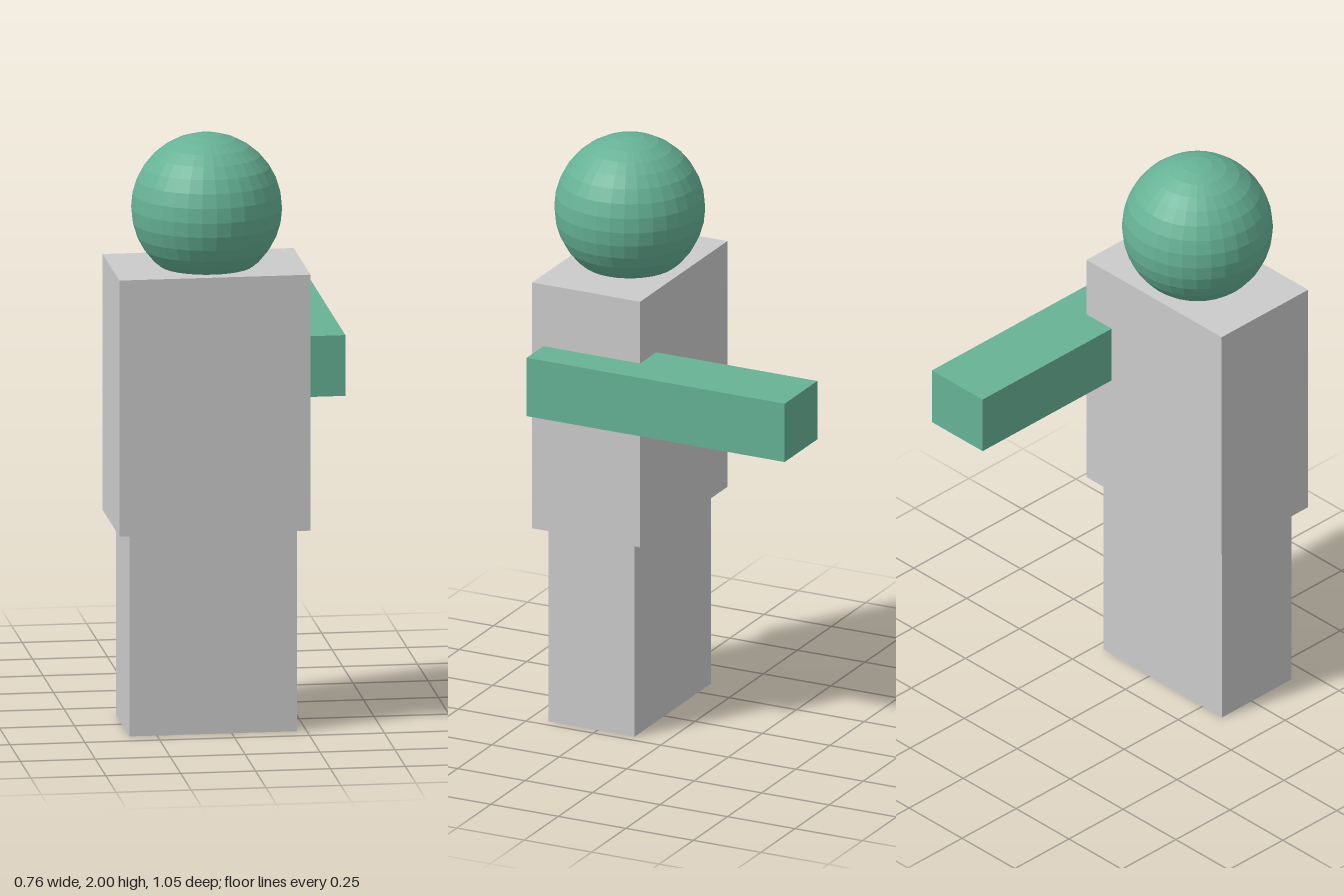
import * as THREE from 'three';

export function createModel() {
  const model = new THREE.Group();
  const grey = new THREE.MeshStandardMaterial({ color: 0xcccccc, flatShading: true });
  const green = new THREE.MeshStandardMaterial({ color: 0x66b296, flatShading: true });

  const add = (name, geometry, material, x, y, z) => {
    const mesh = new THREE.Mesh(geometry, material);
    mesh.name = name;
    mesh.position.set(x, y, z);
    model.add(mesh);
  };

  // Block legs and a slightly wider torso
  add('legs', new THREE.BoxGeometry(0.56, 0.69, 0.32), grey, -0.062, 0.345, 0.273);
  add('torso', new THREE.BoxGeometry(0.638, 0.868, 0.4), grey, -0.062, 1.122, 0.273);

  // Head sunk a little into the torso
  add('head', new THREE.SphereGeometry(0.25, 32, 16), green, -0.062, 1.75, 0.273);

  // Single arm reaching out behind, half embedded in the torso's left side
  add('arm', new THREE.BoxGeometry(0.24, 0.206, 0.956), green, 0.259, 1.235, -0.046);

  return model;
}
